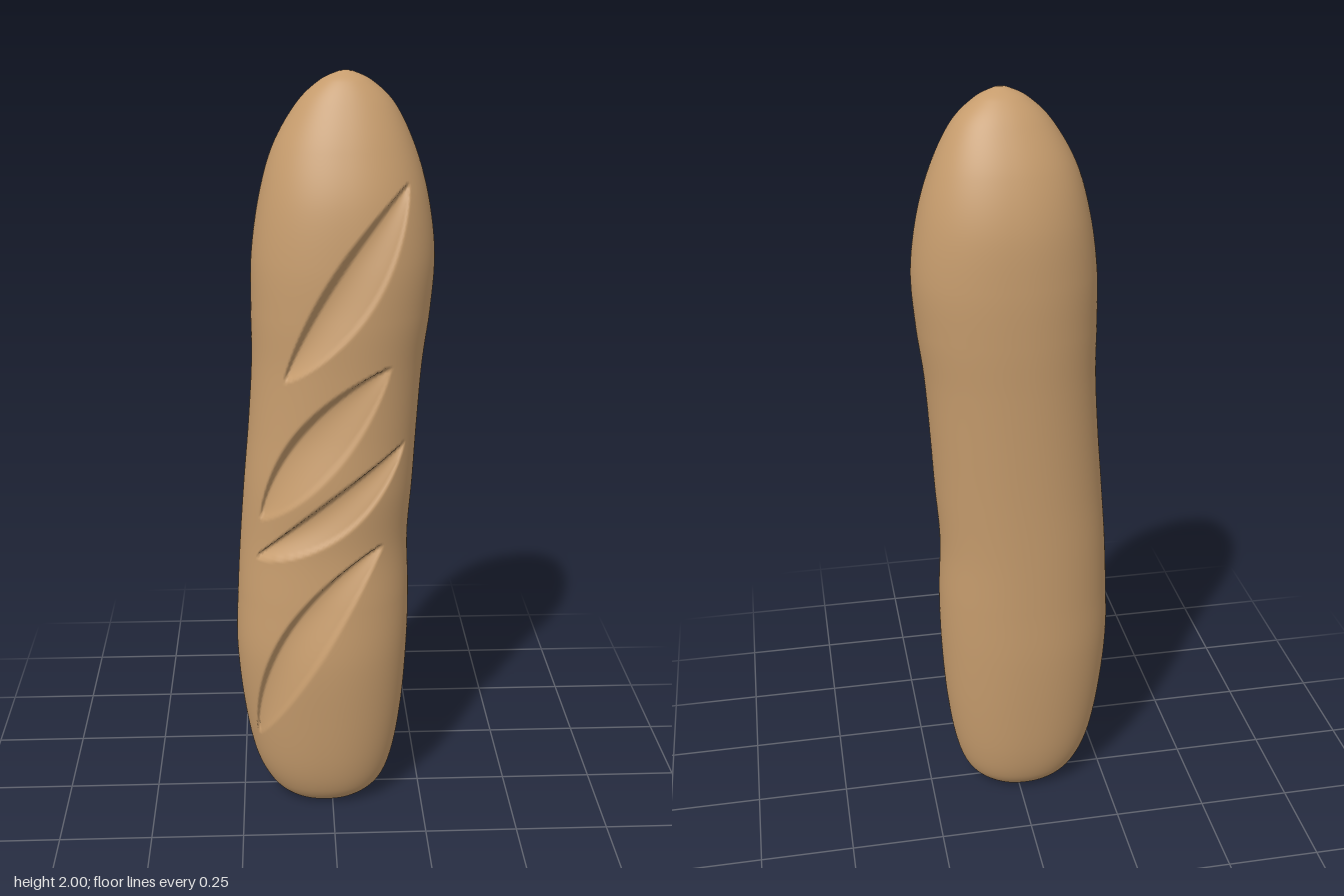
import * as THREE from 'three';

// Loaf cross-sections: [y, left edge x, right edge x, back z, front z]
const sections = [
  [0, -0.09, 0.06, -0.05, 0.075],
  [0.012, -0.135, 0.10, -0.078, 0.105],
  [0.06, -0.18, 0.145, -0.11, 0.138],
  [0.15, -0.218, 0.174, -0.132, 0.163],
  [0.3, -0.245, 0.195, -0.148, 0.182],
  [0.48, -0.26, 0.206, -0.16, 0.195],
  [0.64, -0.255, 0.208, -0.163, 0.188],
  [0.8, -0.245, 0.203, -0.166, 0.178],
  [0.96, -0.232, 0.213, -0.17, 0.186],
  [1.12, -0.217, 0.222, -0.176, 0.182],
  [1.28, -0.206, 0.233, -0.183, 0.182],
  [1.42, -0.205, 0.25, -0.19, 0.187],
  [1.56, -0.201, 0.258, -0.192, 0.184],
  [1.7, -0.18, 0.24, -0.182, 0.165],
  [1.82, -0.145, 0.205, -0.148, 0.125],
  [1.92, -0.087, 0.155, -0.096, 0.078],
  [1.975, -0.03, 0.098, -0.052, 0.043],
  [1.998, 0.018, 0.05, -0.014, 0.012],
];

// Baker's cuts: start, end, bulge of the upper and lower edges, depth
const cuts = [
  { a: [-0.12, 1.27], b: [0.18, 1.745], up: 0.05, low: 0.085, depth: 0.036 },
  { a: [-0.185, 0.89], b: [0.14, 1.3], up: 0.088, low: 0.06, depth: 0.036 },
  { a: [-0.2, 0.78], b: [0.18, 1.09], up: 0.026, low: 0.085, depth: 0.036 },
  { a: [-0.2, 0.24], b: [0.13, 0.815], up: 0.115, low: 0.018, depth: 0.036 },
];

// Catmull-Rom between neighbouring sections
function sectionAt(i, f) {
  const at = (k) => sections[Math.min(Math.max(k, 0), sections.length - 1)];
  const [p, q, r, s] = [at(i - 1), at(i), at(i + 1), at(i + 2)];
  return q.map((v, k) => v + 0.5 * f * (r[k] - p[k]
    + f * (2 * p[k] - 5 * v + 4 * r[k] - s[k] + f * (3 * (v - r[k]) + s[k] - p[k]))));
}

// Leaf-shaped cut: steep wall under the upper edge, gentle ramp from the lower edge
function cutDepth(x, y) {
  let depth = 0;
  for (const c of cuts) {
    const dx = c.b[0] - c.a[0], dy = c.b[1] - c.a[1];
    const len = Math.hypot(dx, dy);
    const px = x - c.a[0], py = y - c.a[1];
    const t = (px * dx + py * dy) / (len * len);
    if (t <= 0 || t >= 1) continue;
    const s = (py * dx - px * dy) / len;
    const bow = Math.pow(Math.sin(Math.PI * t), 0.75);
    const v = (s + c.low * bow) / ((c.up + c.low) * bow);
    if (v <= 0 || v >= 1) continue;
    const ramp = Math.pow(THREE.MathUtils.smoothstep(v, -0.15, 0.75), 0.9);
    const wall = 1 - THREE.MathUtils.smoothstep(v, 0.78, 1);
    const lip = THREE.MathUtils.smoothstep(v, 0, 0.12);
    depth = Math.max(depth, c.depth * Math.sqrt(bow) * ramp * wall * lip);
  }
  return depth;
}

function loafGeometry() {
  const cols = 168, steps = 19;
  const positions = [], indices = [];
  const power = 2 / 2.15;
  const soft = (v) => Math.sign(v) * Math.pow(Math.abs(v), power);
  let rows = 0;
  for (let i = 0; i < sections.length; i++) {
    const n = i === sections.length - 1 ? 1 : steps;
    for (let k = 0; k < n; k++, rows++) {
      const [y, x0, x1, z0, z1] = sectionAt(i, k / steps);
      for (let j = 0; j < cols; j++) {
        const u = (j / cols) * Math.PI * 2;
        const th = u - 0.3 * Math.sin(u); // more columns on the scored front
        const x = (x0 + x1) / 2 + ((x1 - x0) / 2) * soft(Math.sin(th));
        let z = (z0 + z1) / 2 + ((z1 - z0) / 2) * soft(Math.cos(th));
        if (Math.cos(th) > 0) z -= cutDepth(x, y);
        positions.push(x, y, z);
      }
    }
  }
  for (let r = 0; r < rows - 1; r++) {
    for (let j = 0; j < cols; j++) {
      const a = r * cols + j, b = r * cols + (j + 1) % cols;
      indices.push(a, b, b + cols, a, b + cols, a + cols);
    }
  }
  // Dimpled base and rounded tip
  const base = rows * cols, tip = base + 1, last = (rows - 1) * cols;
  positions.push(-0.015, 0.008, 0.012, 0.034, 2, -0.001);
  for (let j = 0; j < cols; j++) {
    const n = (j + 1) % cols;
    indices.push(base, n, j, tip, last + j, last + n);
  }
  const geometry = new THREE.BufferGeometry();
  geometry.setAttribute('position', new THREE.Float32BufferAttribute(positions, 3));
  geometry.setIndex(indices);
  geometry.computeVertexNormals();
  return geometry;
}

export function createModel() {
  const crust = new THREE.MeshStandardMaterial({ color: 0xc69c6d });
  crust.name = 'crust';
  const loaf = new THREE.Mesh(loafGeometry(), crust);
  loaf.name = 'loaf';
  const group = new THREE.Group();
  group.name = 'breadStick';
  group.add(loaf);
  return group;
}
